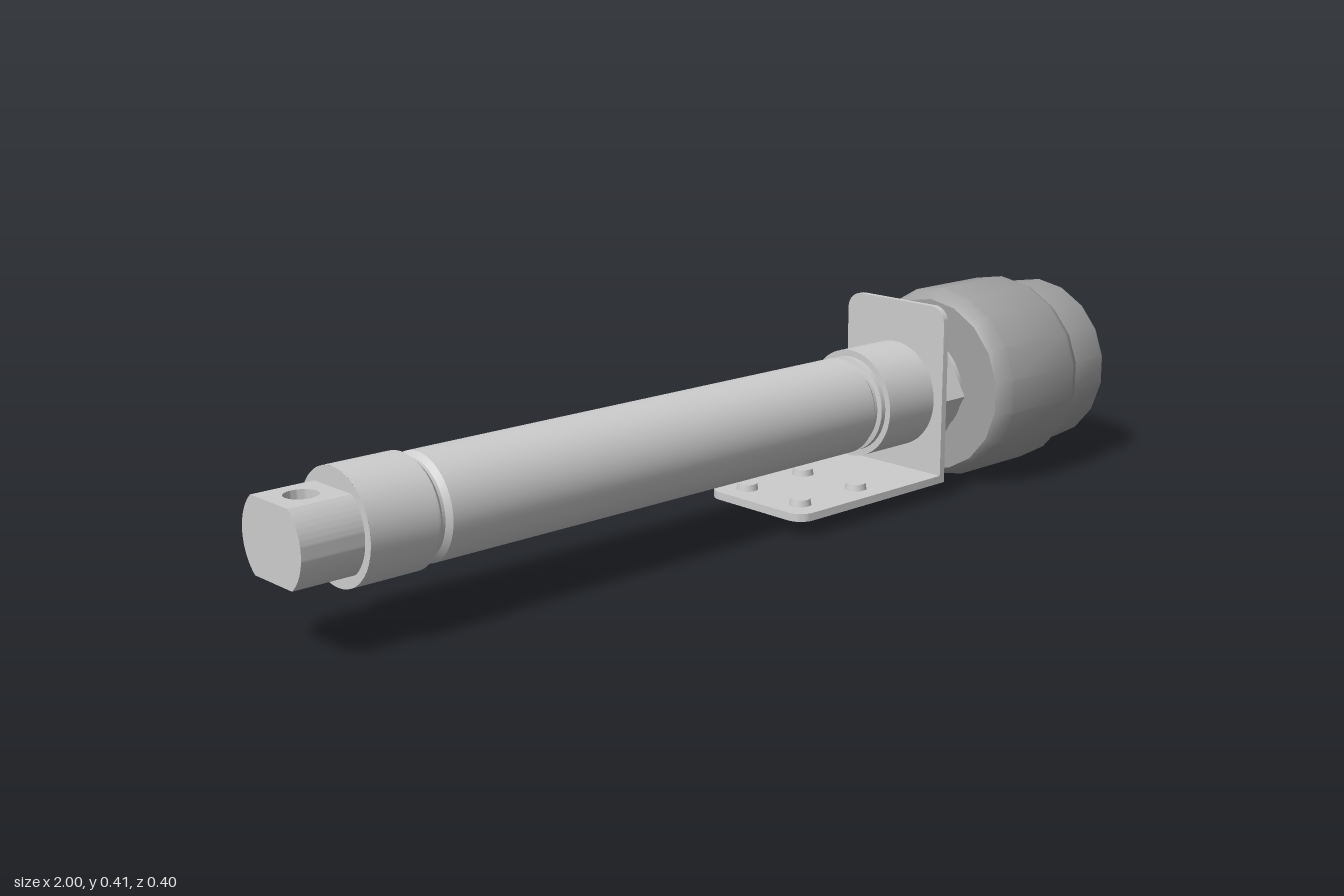
import * as THREE from 'three';
import { mergeGeometries, toCreasedNormals } from 'three/addons/utils/BufferGeometryUtils.js';

const AXIS = 0.206; // height of the cylinder axis
const steel = new THREE.MeshStandardMaterial({ color: 0xcdcdcd });
steel.name = 'lightGrey';
const rubber = new THREE.MeshStandardMaterial({ color: 0xa2a2a2 });
rubber.name = 'midGrey';

export function createModel() {
  const root = new THREE.Group();
  root.name = 'pneumaticCylinder';
  const add = (name, geo, mat = steel, y = AXIS) => {
    const mesh = new THREE.Mesh(geo, mat);
    mesh.name = name;
    mesh.position.y = y;
    root.add(mesh);
    return mesh;
  };

  // Turned part along x from [x, radius] pairs
  const turned = (profile, sides = 48) => {
    const pts = profile.map(([x, r]) => new THREE.Vector2(r, x));
    const g = new THREE.LatheGeometry(pts, sides, Math.PI / 2).rotateZ(-Math.PI / 2);
    return toCreasedNormals(g, 0.5);
  };

  // Round collar with a blind port bored into its back (-z) side
  const portedCollar = (x0, x1, r, holeR) => {
    const A = 0.6, N = 48, depth = 0.06;
    const cx = (x0 + x1) / 2, half = (x1 - x0) / 2;
    const rows = [[0, true], [1, true], [1, false], [1.33, false], [1.67, false], [2, false]];
    const pos = [], idx = [];
    for (const [k, atBottom] of rows) {
      for (let i = 0; i <= N; i++) {
        const t = (i / N) * Math.PI * 2, c = Math.cos(t), s = Math.sin(t);
        const m = Math.max(Math.abs(c), Math.abs(s));
        const f = Math.max(0, k - 1), q = Math.min(k, 1) * holeR;
        const dx = q * c * (1 - f) + (half * c / m) * f;
        const a = Math.asin(q / r * s) * (1 - f) + (A * s / m) * f;
        pos.push(cx + dx, r * Math.sin(a), atBottom ? depth - r : -r * Math.cos(a));
      }
    }
    for (let k = 0; k < rows.length - 1; k++) {
      for (let i = 0; i < N; i++) {
        const a = k * (N + 1) + i, b = a + N + 1;
        idx.push(a, a + 1, b, a + 1, b + 1, b);
      }
    }
    const patch = new THREE.BufferGeometry();
    patch.setAttribute('position', new THREE.Float32BufferAttribute(pos, 3));
    patch.setIndex(idx);
    patch.computeVertexNormals();
    const wall = new THREE.CylinderGeometry(r, r, x1 - x0, 48, 1, true, Math.PI + A, 2 * Math.PI - 2 * A)
      .rotateZ(-Math.PI / 2).translate(cx, 0, 0);
    const caps = [[x0, -1], [x1, 1]].map(([x, dir]) =>
      new THREE.CircleGeometry(r, 48).rotateY(dir * Math.PI / 2).translate(x, 0, 0));
    const parts = [patch, wall, ...caps].map((g) => {
      g.deleteAttribute('uv');
      return g.toNonIndexed();
    });
    return toCreasedNormals(mergeGeometries(parts), 0.6);
  };

  // Rod tang: flat-sided centre with a cross hole, plus two rounded sides
  const tangR = 0.089, tangH = 0.069, tangLen = 0.12;
  const phi = Math.asin(tangH / tangR), flat = tangR * Math.cos(phi);
  const core = new THREE.Shape([
    new THREE.Vector2(-1, -flat), new THREE.Vector2(-1 + tangLen, -flat),
    new THREE.Vector2(-1 + tangLen, flat), new THREE.Vector2(-1, flat),
  ]);
  core.holes.push(new THREE.Path().absarc(-0.94, 0, 0.03, 0, Math.PI * 2, true));
  add('tangCore', toCreasedNormals(
    new THREE.ExtrudeGeometry(core, { depth: tangH * 2, bevelEnabled: false, curveSegments: 24 })
      .rotateX(-Math.PI / 2).translate(0, -tangH, 0), 0.5));
  for (const turn of [0, Math.PI]) {
    const seg = new THREE.Shape().absarc(0, 0, tangR, turn - phi, turn + phi, false);
    add('tangSide', toCreasedNormals(
      new THREE.ExtrudeGeometry(seg, { depth: tangLen, bevelEnabled: false, curveSegments: 16 })
        .rotateY(Math.PI / 2).translate(-1, 0, 0), 0.5));
  }

  // End collars and barrel with its stepped ends
  add('rearCollar', portedCollar(-0.88, -0.745, 0.105, 0.034));
  add('frontCollar', portedCollar(0.365, 0.502, 0.111, 0.034));
  add('barrel', turned([
    [-0.75, 0.097], [-0.736, 0.097], [-0.728, 0.09], [-0.722, 0.09], [-0.712, 0.099],
    [0.332, 0.099], [0.345, 0.088], [0.352, 0.088], [0.354, 0.098], [0.37, 0.098],
  ]));

  // Angle bracket: two plates, each rounded at its free end
  const plate = (halfW, len, depth) => {
    const c = 0.035;
    const s = new THREE.Shape();
    s.moveTo(-halfW, 0);
    s.lineTo(halfW, 0);
    s.lineTo(halfW, len - c);
    s.absarc(halfW - c, len - c, c, 0, Math.PI / 2, false);
    s.absarc(c - halfW, len - c, c, Math.PI / 2, Math.PI, false);
    s.closePath();
    return new THREE.ExtrudeGeometry(s, { depth, bevelEnabled: false, curveSegments: 6 });
  };
  add('bracketUpright', toCreasedNormals(
    plate(0.133, 0.371, 0.014).rotateY(Math.PI / 2).translate(0.5, 0.034, 0), 0.5), steel, 0);
  add('bracketFoot', toCreasedNormals(
    plate(0.133, 0.428, 0.016).rotateX(-Math.PI / 2).rotateY(Math.PI / 2)
      .translate(0.513, 0.034, 0), 0.5), steel, 0);

  // Low studs on the foot
  for (const x of [0.143, 0.305]) {
    for (const z of [-0.075, 0.075]) {
      const stud = add('footStud', new THREE.CylinderGeometry(0.02, 0.023, 0.016, 20), steel, 0.055);
      stud.position.x = x;
      stud.position.z = z;
    }
  }

  // Lock nut with corners to front and back, then the stepped neck
  add('lockNut', toCreasedNormals(
    new THREE.CylinderGeometry(0.129, 0.129, 0.064, 6).rotateZ(-Math.PI / 2), 0.5)).position.x = 0.546;
  add('neck', turned([
    [0.57, 0], [0.57, 0.103], [0.6, 0.103], [0.605, 0.085], [0.63, 0.085],
  ]));

  // Faceted end cap
  add('endCap', turned([
    [0.613, 0], [0.613, 0.185], [0.622, 0.194], [0.648, 0.205], [0.85, 0.205], [0.865, 0.2],
    [0.892, 0.182], [0.985, 0.182], [0.996, 0.176], [1, 0.165], [1, 0],
  ], 18), rubber);

  return root;
}
